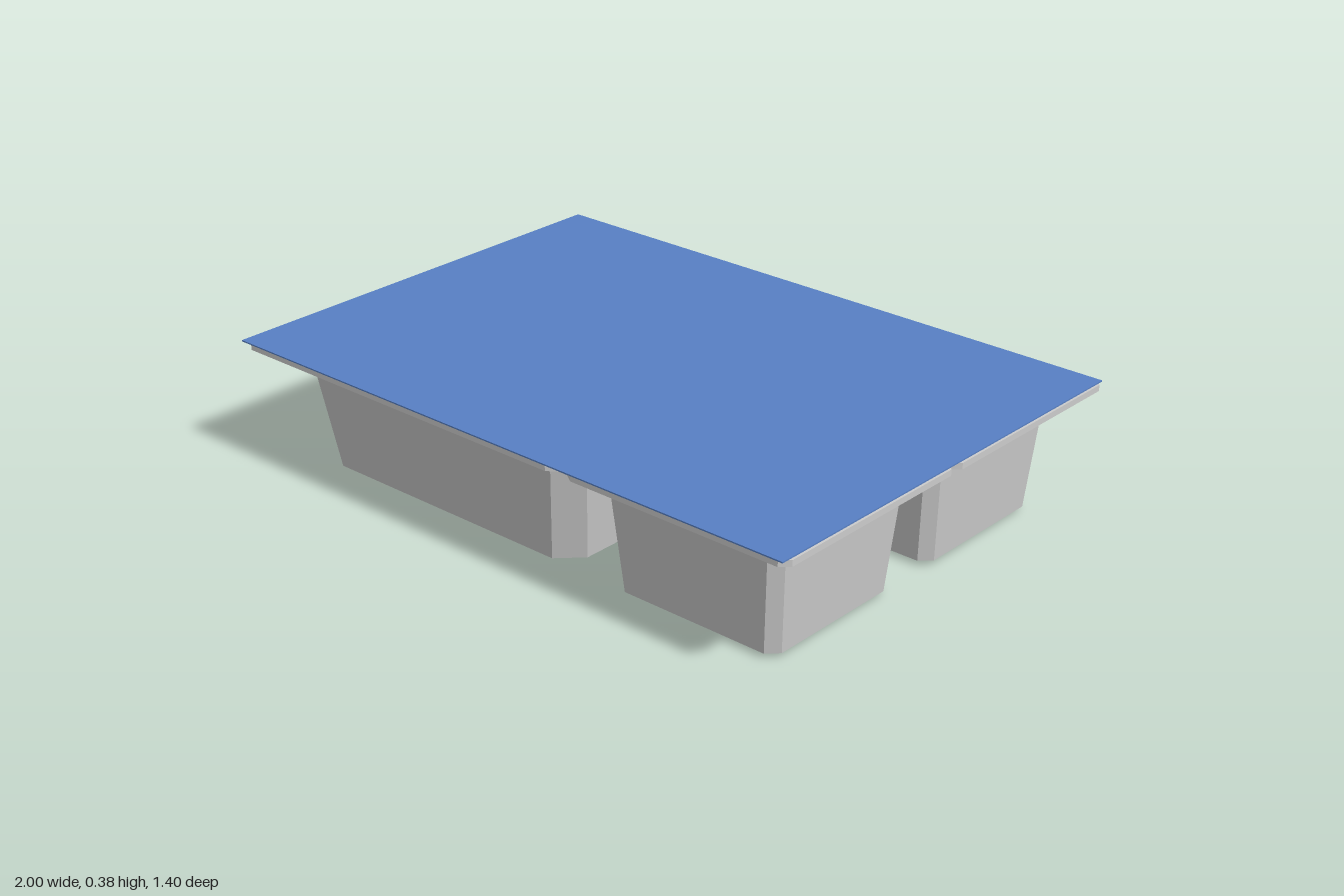
import * as THREE from 'three';

const RIM_TOP = 0.38, RIM_BOTTOM = 0.362;

// Rectangle outline [x, z] with cut corners, running round from the front edge
function cutRect(x0, x1, z0, z1, c) {
  return [
    [x0 + c, z1], [x1 - c, z1], [x1, z1 - c], [x1, z0 + c],
    [x1 - c, z0], [x0 + c, z0], [x0, z0 + c], [x0, z1 - c],
  ];
}

// Walls between two matching outlines, facing outward, with an optional floor
function loft(top, yTop, bottom, yBottom, floor) {
  const pos = [];
  const put = ([x, z], y) => pos.push(x, y, z);
  const n = top.length;
  for (let i = 0; i < n; i++) {
    const j = (i + 1) % n;
    put(bottom[i], yBottom); put(bottom[j], yBottom); put(top[j], yTop);
    put(bottom[i], yBottom); put(top[j], yTop); put(top[i], yTop);
    if (floor && i > 0 && i < n - 1) {
      put(bottom[0], yBottom); put(bottom[j], yBottom); put(bottom[i], yBottom);
    }
  }
  const g = new THREE.BufferGeometry();
  g.setAttribute('position', new THREE.Float32BufferAttribute(pos, 3));
  g.computeVertexNormals();
  return g;
}

const toPoints = (outline) => outline.map(([x, z]) => new THREE.Vector2(x, -z));

export function createModel() {
  const tray = new THREE.MeshStandardMaterial({ color: 0xcccccc, side: THREE.DoubleSide });
  tray.name = 'grey plastic';
  const film = new THREE.MeshStandardMaterial({ color: 0x5880c4 });
  film.name = 'blue film';

  const group = new THREE.Group();
  const add = (name, geometry, material) => {
    const mesh = new THREE.Mesh(geometry, material);
    mesh.name = name;
    group.add(mesh);
    return mesh;
  };

  // Compartments: top bounds, inward taper, corner cut and floor height
  const cups = [
    { name: 'largeCompartment', b: [-0.897, 0.197, -0.598, 0.598], taper: 0.054, cut: 0.068, y: 0 },
    { name: 'smallFrontCompartment', b: [0.3, 0.897, 0.05, 0.598], taper: 0.031, cut: 0.032, y: 0.013 },
    { name: 'smallBackCompartment', b: [0.3, 0.897, -0.598, -0.05], taper: 0.031, cut: 0.032, y: 0.013 },
  ];
  // Rim outline with cut corners and small V notches between the compartments
  const x0 = -0.992, x1 = 0.998, z0 = -0.699, z1 = 0.694, c = 0.025;
  const rim = [
    [x0 + c, z1], [0.205, z1], [0.235, z1 - 0.02], [0.265, z1 - 0.02], [0.295, z1], [x1 - c, z1],
    [x1, z1 - c], [x1, 0.025], [x1 - 0.025, 0], [x1, -0.025], [x1, z0 + c],
    [x1 - c, z0], [0.295, z0], [0.265, z0 + 0.02], [0.235, z0 + 0.02], [0.205, z0], [x0 + c, z0],
    [x0, z0 + c], [x0, z1 - c],
  ];
  const flange = new THREE.Shape(toPoints(rim));

  for (const { name, b: [l, r, back, front], taper: t, cut, y } of cups) {
    const top = cutRect(l, r, back, front, cut);
    const bottom = cutRect(l + t, r - t, back + t, front - t, cut);
    add(name, loft(top, RIM_TOP, bottom, y, true), tray);
    flange.holes.push(new THREE.Path(toPoints(top)));
  }

  // Flat flange around the openings, with a thin skirt hanging from its edge
  add('flange', new THREE.ShapeGeometry(flange).rotateX(-Math.PI / 2).translate(0, RIM_TOP, 0), tray);
  add('rimSkirt', loft(rim, RIM_TOP, rim, RIM_BOTTOM, false), tray);

  // Sealing film over the whole tray
  add('lidFilm', new THREE.BoxGeometry(1.992, 0.004, 1.396), film).position.set(-0.004, RIM_TOP + 0.003, 0.002);

  return group;
}
